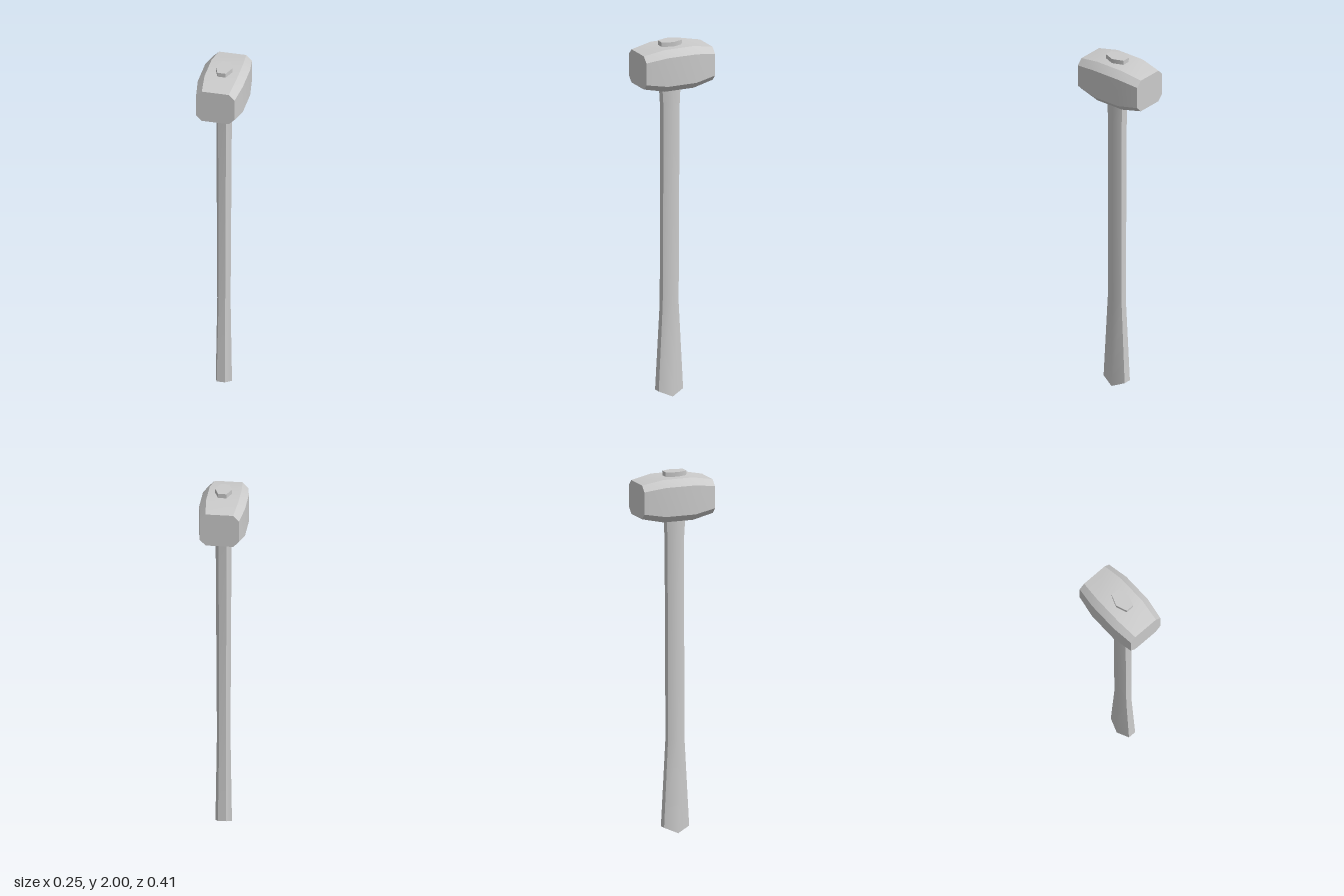
import * as THREE from 'three';
import { toCreasedNormals } from 'three/addons/utils/BufferGeometryUtils.js';

// Skin a list of equal-length rings, closing both ends with fans
function loft(rings, crease) {
  const n = rings[0].length;
  const index = [];
  for (let i = 0; i < rings.length - 1; i++) {
    for (let j = 0; j < n; j++) {
      const k = (j + 1) % n;
      const a = i * n + j, b = i * n + k;
      index.push(a, b, b + n, a, b + n, a + n);
    }
  }
  const last = (rings.length - 1) * n;
  for (let j = 1; j < n - 1; j++) {
    index.push(0, j + 1, j);
    index.push(last, last + j, last + j + 1);
  }
  const geo = new THREE.BufferGeometry();
  geo.setAttribute('position', new THREE.Float32BufferAttribute(rings.flat(2), 3));
  geo.setIndex(index);
  return toCreasedNormals(geo, THREE.MathUtils.degToRad(crease));
}

// Chamfered rectangle across the head at depth z
function headRing(z, halfW, bottom, top, chamfer) {
  const w = halfW, c = chamfer;
  return [
    [w, bottom + c, z], [w, top - c, z], [w - c, top, z], [c - w, top, z],
    [-w, top - c, z], [-w, bottom + c, z], [c - w, bottom, z], [w - c, bottom, z],
  ];
}

// Six-sided handle section; the two side points can hang lower by drop
function handleRing(y, halfW, front, back, drop = 0) {
  const cx = 0.004, mid = (front + back) / 2, w = halfW, f = halfW * 0.5;
  return [
    [cx + f, y, front], [cx + w, y - drop, mid], [cx + f, y, back],
    [cx - f, y, back], [cx - w, y - drop, mid], [cx - f, y, front],
  ];
}

export function createModel() {
  const group = new THREE.Group();
  const material = new THREE.MeshStandardMaterial({ color: 0xcccccc });
  const add = (name, geometry) => {
    const mesh = new THREE.Mesh(geometry, material);
    mesh.name = name;
    group.add(mesh);
  };

  // Barrel-shaped head, swelling toward its middle
  add('head', loft([
    headRing(-0.208, 0.107, 1.765, 1.952, 0.032),
    headRing(-0.088, 0.125, 1.74, 1.975, 0.037),
    headRing(0.086, 0.125, 1.74, 1.975, 0.037),
    headRing(0.206, 0.107, 1.765, 1.952, 0.032),
  ], 35));

  // Handle with flared grip, its top end standing proud of the head
  add('handle', loft([
    handleRing(0.032, 0.045, 0.092, -0.055, 0.032),
    handleRing(0.52, 0.037, 0.066, -0.03),
    handleRing(1.62, 0.043, 0.062, -0.034),
    handleRing(1.75, 0.044, 0.07, -0.04),
    handleRing(2.0, 0.046, 0.075, -0.047),
  ], 50));

  return group;
}
